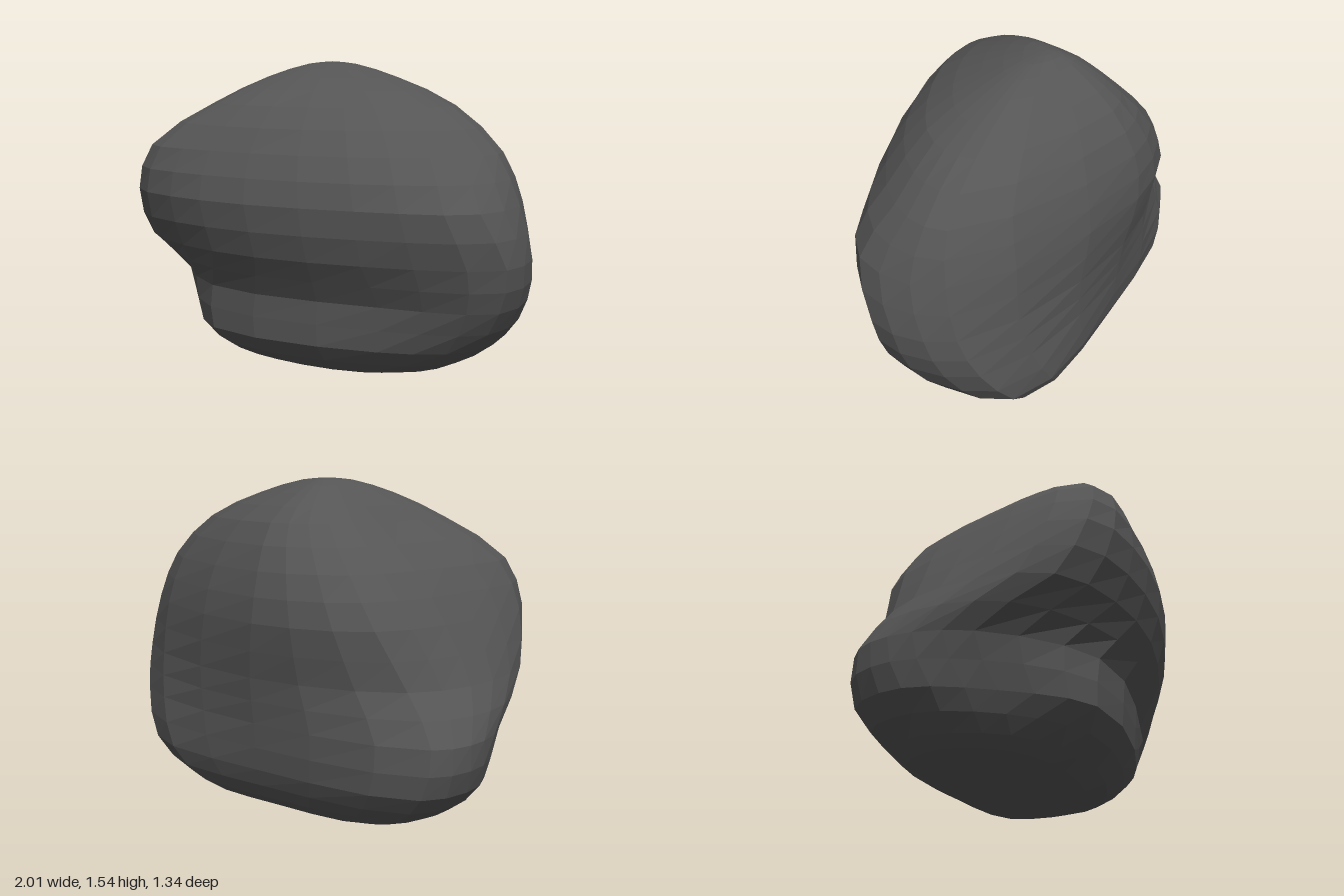
import * as THREE from 'three';

const SECTORS = 24;
const ROWS = 22;

// Horizontal cross-sections, bottom to top. Each has a height and eight [x, z]
// points going left, back-left, back, back-right, right, front-right, front, front-left.
const sections = [
  { y: 0.03, pts: [[-0.62, -0.05], [-0.54, -0.32], [-0.1, -0.43], [0.2, -0.42], [0.27, -0.18], [0.13, -0.03], [-0.15, 0.08], [-0.47, 0.09]] },
  { y: 0.1, pts: [[-0.79, -0.1], [-0.71, -0.36], [-0.1, -0.53], [0.46, -0.52], [0.56, -0.17], [0.36, 0.08], [-0.22, 0.28], [-0.6, 0.19]] },
  { y: 0.25, pts: [[-0.95, -0.1], [-0.88, -0.42], [-0.1, -0.6], [0.67, -0.57], [0.79, -0.13], [0.48, 0.18], [-0.35, 0.45], [-0.72, 0.21]] },
  { y: 0.47, pts: [[-1, -0.15], [-0.92, -0.41], [-0.1, -0.62], [0.82, -0.5], [0.95, -0.09], [0.5, 0.2], [-0.34, 0.46], [-0.85, 0.18]] },
  { y: 0.68, pts: [[-0.91, 0.04], [-0.78, -0.39], [-0.1, -0.64], [0.88, -0.43], [1, -0.06], [0.5, 0.32], [-0.2, 0.57], [-0.75, 0.5]] },
  { y: 0.93, pts: [[-0.79, 0.05], [-0.67, -0.47], [-0.15, -0.67], [0.87, -0.37], [0.93, 0.05], [0.5, 0.37], [-0.2, 0.64], [-0.69, 0.62]] },
  { y: 1.15, pts: [[-0.65, 0.02], [-0.53, -0.47], [-0.15, -0.63], [0.79, -0.32], [0.78, -0.03], [0.42, 0.32], [-0.2, 0.57], [-0.6, 0.6]] },
  { y: 1.35, pts: [[-0.43, -0.03], [-0.35, -0.4], [-0.12, -0.52], [0.55, -0.28], [0.55, -0.06], [0.29, 0.2], [-0.15, 0.4], [-0.41, 0.36]] },
];

// Smooth closed outline through the points of one section
function outline({ y, pts }) {
  const curve = new THREE.CatmullRomCurve3(pts.map(([x, z]) => new THREE.Vector3(x, y, z)), true);
  return Array.from({ length: SECTORS }, (_, k) => curve.getPoint(k / SECTORS));
}

// Curved columns from base to peak, skinned with quads and closed with fans
function skin(rings, base, peak) {
  const verts = [base, peak];
  const index = [];
  const at = (r, k) => 2 + (k % SECTORS) * (ROWS - 1) + r;
  const last = ROWS - 2;
  for (let k = 0; k < SECTORS; k++) {
    const column = new THREE.CatmullRomCurve3([base, ...rings.map((ring) => ring[k]), peak]);
    for (let r = 1; r < ROWS; r++) verts.push(column.getPoint(r / ROWS));
    index.push(0, at(0, k), at(0, k + 1));
    for (let r = 0; r < last; r++) {
      const a = at(r, k), b = at(r, k + 1), c = at(r + 1, k), d = at(r + 1, k + 1);
      index.push(a, c, b, b, c, d);
    }
    index.push(at(last, k), 1, at(last, k + 1));
  }
  const geometry = new THREE.BufferGeometry().setFromPoints(verts);
  geometry.setIndex(index);
  geometry.computeVertexNormals();
  return geometry;
}

export function createModel() {
  const base = new THREE.Vector3(-0.1, 0, -0.17);
  const peak = new THREE.Vector3(-0.12, 1.54, -0.16);

  // Crown rings: the top section drawn in toward the peak
  const rings = sections.map(outline);
  const top = rings[rings.length - 1];
  for (const [inward, y] of [[0.45, 1.47], [0.8, 1.53]]) {
    rings.push(top.map((p) => p.clone().lerp(peak, inward).setY(y)));
  }

  const material = new THREE.MeshStandardMaterial({ color: 0x555555, flatShading: true });
  const boulder = new THREE.Mesh(skin(rings, base, peak), material);
  boulder.name = 'boulder';

  const group = new THREE.Group();
  group.name = 'rock';
  group.add(boulder);
  return group;
}
